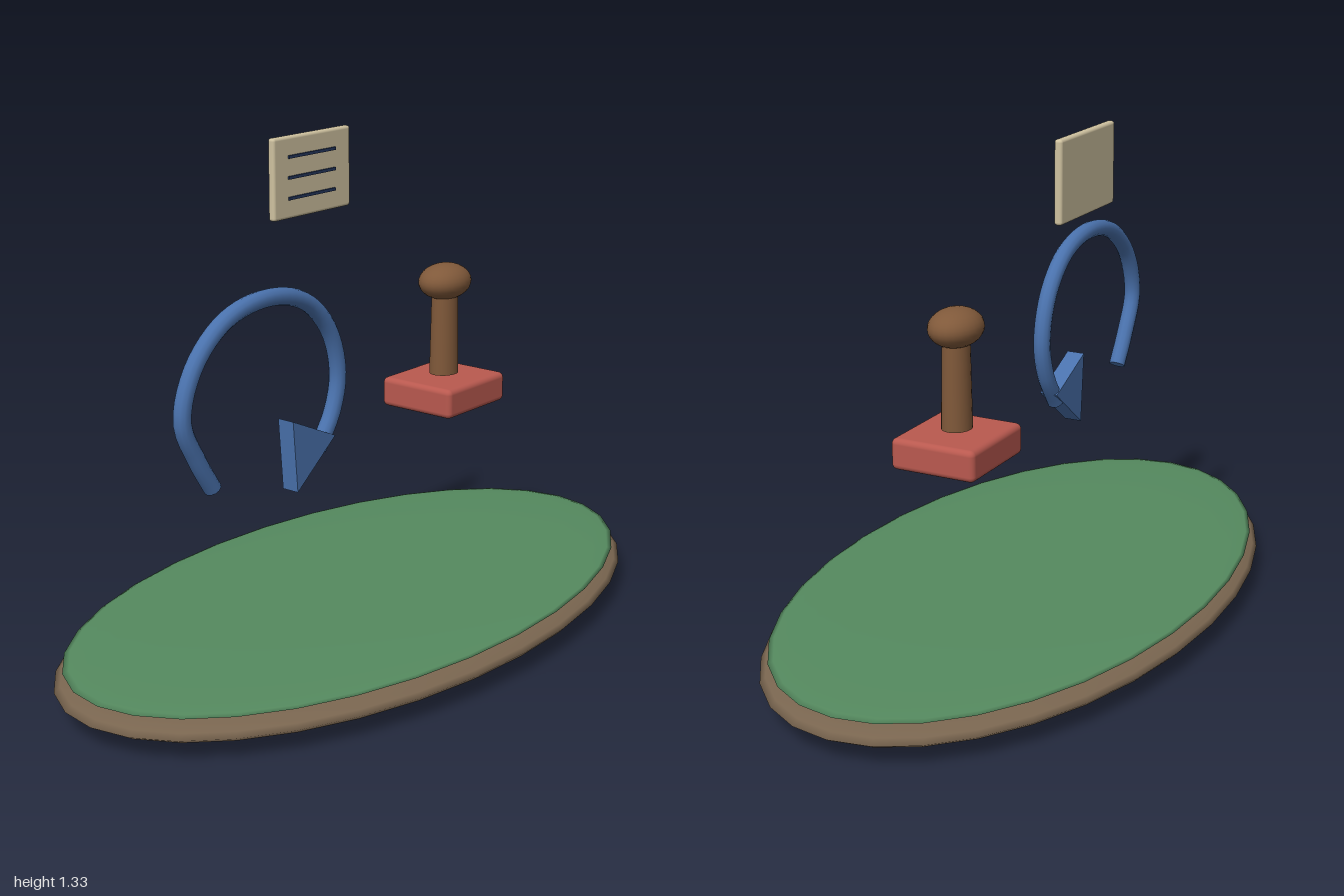
import * as THREE from 'three';
import { RoundedBoxGeometry } from 'three/addons/geometries/RoundedBoxGeometry.js';

const material = (color) => new THREE.MeshStandardMaterial({ color });
const soil = material(0x7a6650);
const grass = material(0x558a5f);
const blue = material(0x4a72ad);
const wood = material(0x80593a);
const red = material(0xb9594f);
const paper = material(0xcfc2a0);
const ink = material(0x24365c);

function add(parent, name, geometry, mat, x, y, z) {
  const mesh = new THREE.Mesh(geometry, mat);
  mesh.name = name;
  mesh.position.set(x, y, z);
  parent.add(mesh);
  return mesh;
}

function ellipsoid(rx, ry, rz, segments, rings) {
  return new THREE.SphereGeometry(1, segments, rings).scale(rx, ry, rz);
}

function group(parent, name) {
  const g = new THREE.Group();
  g.name = name;
  parent.add(g);
  return g;
}

export function createModel() {
  const model = new THREE.Group();
  model.name = 'model';

  // Flattened oval ground with a thinner green top
  const ground = group(model, 'ground');
  add(ground, 'groundBase', ellipsoid(1, 0.06, 0.545, 32, 16), soil, 0, 0.06, 0);
  add(ground, 'groundTop', ellipsoid(0.975, 0.018, 0.525, 32, 16), grass, 0, 0.105, 0);

  // Curved arrow: swept tube with closed ends
  const arrow = group(model, 'turnArrow');
  const path = new THREE.CatmullRomCurve3([
    [-0.567, 0.537], [-0.62, 0.622], [-0.667, 0.73], [-0.627, 0.85],
    [-0.52, 0.944], [-0.37, 0.977], [-0.22, 0.944], [-0.123, 0.85],
    [-0.088, 0.73], [-0.11, 0.632], [-0.17, 0.54],
  ].map(([x, y]) => new THREE.Vector3(x, y, 0)));
  const radius = 0.023;
  add(arrow, 'arrowShaft', new THREE.TubeGeometry(path, 48, radius, 12), blue, 0, 0, 0);
  for (const t of [0, 1]) {
    const p = path.getPointAt(t);
    const cap = add(arrow, 'arrowShaftCap', new THREE.CircleGeometry(radius, 12), blue, p.x, p.y, 0);
    const outward = path.getTangentAt(t).multiplyScalar(t ? 1 : -1);
    cap.quaternion.setFromUnitVectors(new THREE.Vector3(0, 0, 1), outward);
  }

  // Arrowhead: flat triangular prism
  const head = new THREE.Shape([
    new THREE.Vector2(-0.294, 0.647),
    new THREE.Vector2(-0.278, 0.455),
    new THREE.Vector2(-0.128, 0.572),
  ]);
  add(arrow, 'arrowHead',
    new THREE.ExtrudeGeometry(head, { depth: 0.05, bevelEnabled: false }), blue, 0, 0, -0.025);

  // Hand stamp
  const stamp = group(model, 'stamp');
  stamp.position.x = 0.375;
  add(stamp, 'stampBlock', new RoundedBoxGeometry(0.26, 0.082, 0.234, 3, 0.015), red, 0, 0.582, 0);
  add(stamp, 'stampHandle',
    new THREE.CylinderGeometry(0.039, 0.044, 0.24, 24).scale(1, 1, 0.87), wood, 0, 0.75, 0);
  add(stamp, 'stampKnob', ellipsoid(0.083, 0.05, 0.067, 24, 16), wood, 0, 0.89, 0);

  // Note card with three ruled lines on its front
  const card = group(model, 'noteCard');
  add(card, 'cardSheet', new RoundedBoxGeometry(0.308, 0.215, 0.022, 3, 0.008), paper, 0, 1.222, -0.165);
  for (let i = 0; i < 3; i++) {
    add(card, 'cardLine', new THREE.BoxGeometry(0.186, 0.008, 0.005), ink, -0.008, 1.169 + i * 0.054, -0.15);
  }

  return model;
}
